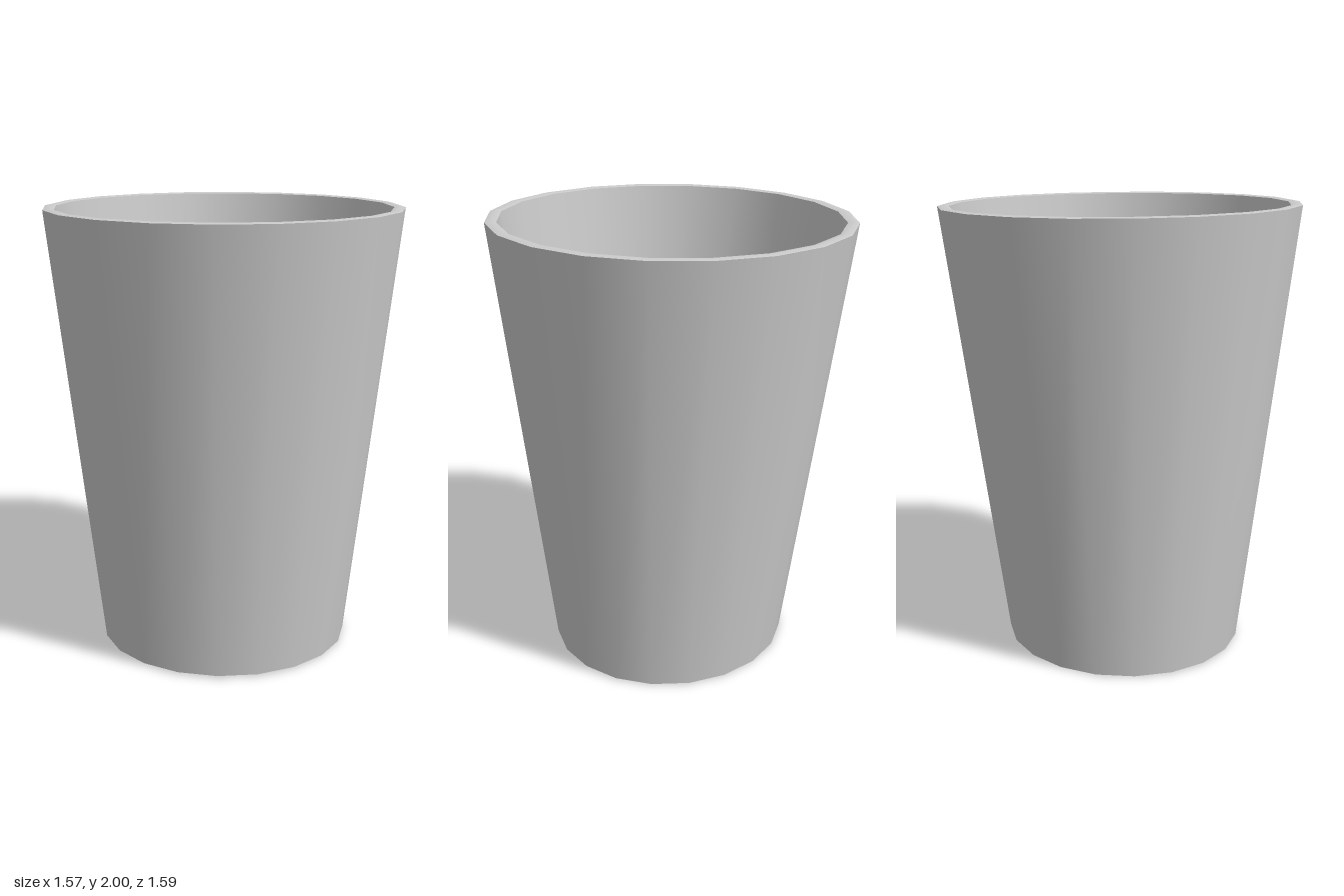
import * as THREE from 'three';

const SIDES = 20;
const TILT = 0.009; // the cup leans very slightly, front edge higher

// One oval cross-section of the cup: height, radii and z offset
const ring = (y, rx, rz, cz = 0) => ({ y, rx, rz, cz });

// Skin a list of rings; wrapped indices keep the shading smooth all round
function loft(rings) {
  const position = [], index = [];
  for (const r of rings) {
    for (let i = 0; i < SIDES; i++) {
      const a = (i / SIDES) * Math.PI * 2;
      const z = r.cz + r.rz * Math.cos(a);
      position.push(r.rx * Math.sin(a), r.y + TILT * z, z);
    }
  }
  for (let k = 0; k < rings.length - 1; k++) {
    for (let i = 0; i < SIDES; i++) {
      const j = (i + 1) % SIDES;
      const a = k * SIDES + i, b = k * SIDES + j;
      index.push(a, b, b + SIDES, a, b + SIDES, a + SIDES);
    }
  }
  const geometry = new THREE.BufferGeometry();
  geometry.setAttribute('position', new THREE.Float32BufferAttribute(position, 3));
  geometry.setIndex(index);
  geometry.computeVertexNormals();
  return geometry;
}

export function createModel() {
  const group = new THREE.Group();
  group.name = 'cup';
  const material = new THREE.MeshStandardMaterial({ color: 0xcccccc });

  const baseCentre = ring(0.005, 0, 0, 0.015);
  const outerBottom = ring(0.005, 0.57, 0.535, 0.015);
  const outerTop = ring(1.988, 0.787, 0.797);
  const rimCrest = ring(1.993, 0.763, 0.773);
  const innerTop = ring(1.988, 0.738, 0.747);
  const innerBottom = ring(0.06, 0.53, 0.497, 0.015);
  const floorCentre = ring(0.06, 0, 0, 0.015);

  // Separate parts keep the edges between them crisp
  const parts = {
    base: [baseCentre, outerBottom],
    outerWall: [outerBottom, outerTop],
    rim: [outerTop, rimCrest, innerTop],
    innerWall: [innerTop, innerBottom],
    innerFloor: [innerBottom, floorCentre],
  };
  for (const [name, rings] of Object.entries(parts)) {
    const mesh = new THREE.Mesh(loft(rings), material);
    mesh.name = name;
    group.add(mesh);
  }
  return group;
}
